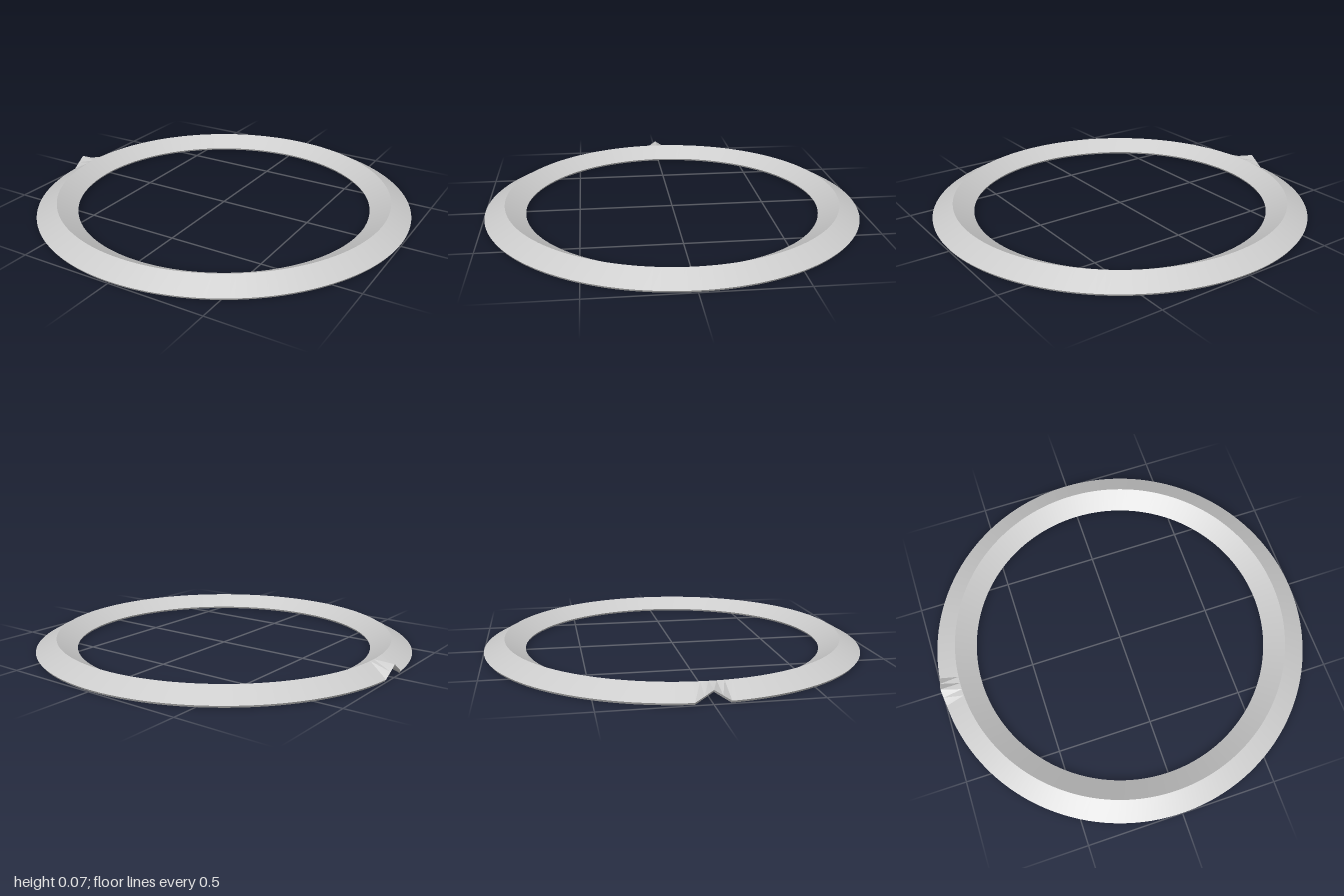
import * as THREE from 'three';
import { toCreasedNormals } from 'three/addons/utils/BufferGeometryUtils.js';

const SEGMENTS = 156;
const NOTCH_STEPS = 2; // segments on each side of the raised notch
const NOTCH_LIFT = 0.054;

// Thin folded section [radius, height], counter-clockwise from the outer foot
const PROFILE = [
  [0.993, 0], [1, 0.011], [0.892, 0.07],
  [0.785, 0.011], [0.792, 0], [0.892, 0.055],
];

function foldedRing() {
  const n = PROFILE.length;
  const positions = [];
  const index = [];
  for (let s = 0; s < SEGMENTS; s++) {
    const angle = (s / SEGMENTS) * Math.PI * 2;
    // The outer lip rises to a tent-shaped peak on the -x side
    const away = Math.abs(s - SEGMENTS / 2) / NOTCH_STEPS;
    const lift = Math.max(0, 1 - away) * NOTCH_LIFT;
    PROFILE.forEach(([r, y], j) => {
      positions.push(r * Math.cos(angle), y + (j < 2 ? lift : 0), r * Math.sin(angle));
    });
    const next = ((s + 1) % SEGMENTS) * n;
    for (let j = 0; j < n; j++) {
      const k = (j + 1) % n;
      const a = s * n + j, b = s * n + k, c = next + j, d = next + k;
      index.push(a, b, c, b, d, c);
    }
  }
  const geometry = new THREE.BufferGeometry();
  geometry.setAttribute('position', new THREE.Float32BufferAttribute(positions, 3));
  geometry.setIndex(index);
  return toCreasedNormals(geometry, 0.35);
}

export function createModel() {
  const group = new THREE.Group();
  group.name = 'notchedRing';

  // Hollow ring with an inverted V section and one raised notch
  const ring = new THREE.Mesh(
    foldedRing(),
    new THREE.MeshStandardMaterial({ color: 0xcccccc })
  );
  ring.name = 'foldedRing';
  group.add(ring);
  return group;
}
